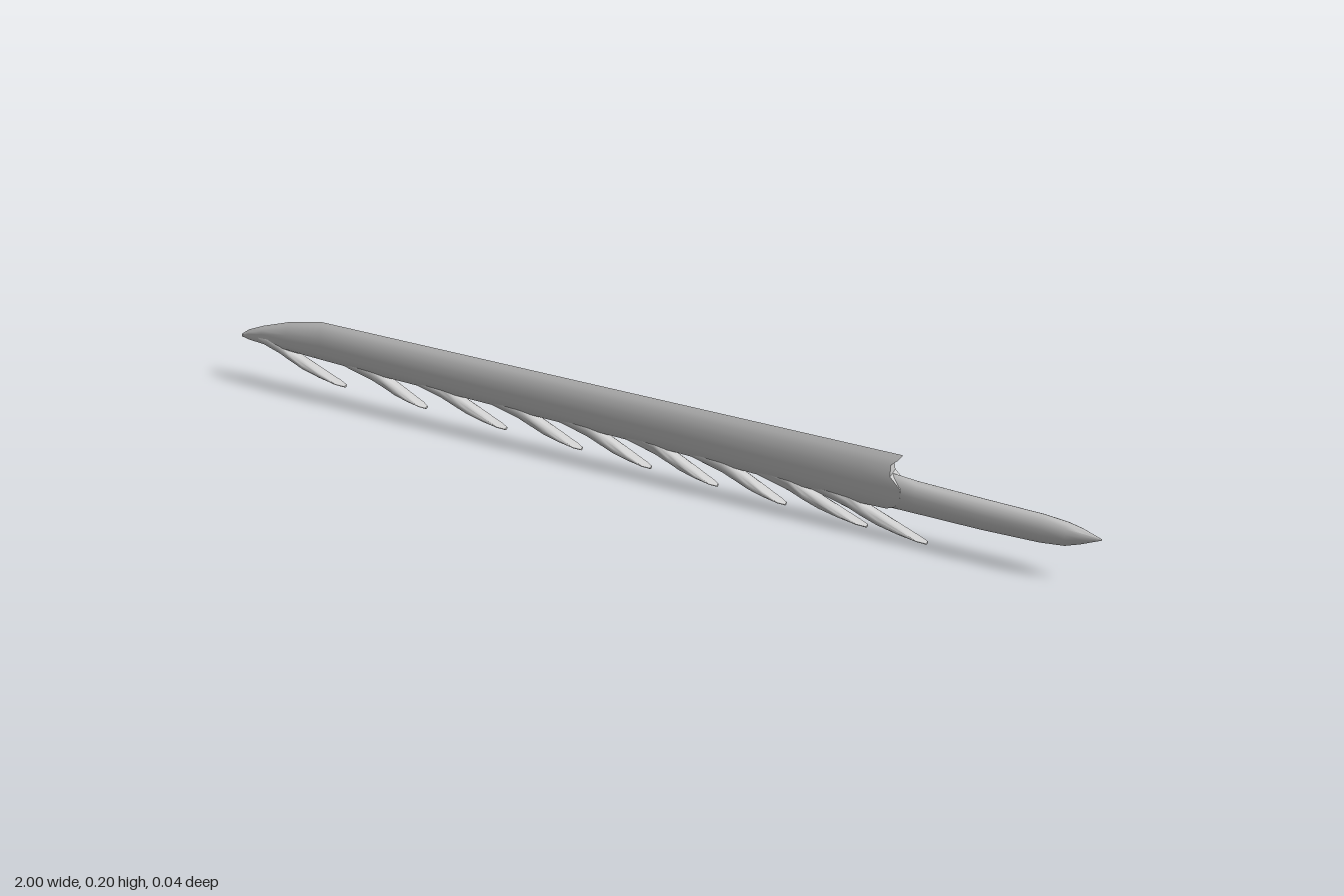
import * as THREE from 'three';
import { toCreasedNormals } from 'three/addons/utils/BufferGeometryUtils.js';

const material = new THREE.MeshStandardMaterial({ color: 0xcccccc });

// Half cross-sections from top to bottom: [height fraction, width fraction]
const BLADE = [[1, 0], [0.92, 0.35], [0.82, 0.64], [0.64, 0.94], [0.45, 1], [0.25, 1], [0.1, 0.85], [0, 0.4]];
const OVAL = [[1, 0], [0.94, 0.4], [0.8, 0.8], [0.6, 1], [0.4, 1], [0.2, 0.8], [0.06, 0.4], [0, 0]];

// Skins sections [x, top, bottom, halfWidth, xOffsets?] that run along +x
function loft(name, profile, sections, crease = 0.6) {
  const half = profile.map(([v, w], k) => [v, w, k]);
  const mirrored = half.filter(([, w]) => w > 0).reverse().map(([v, w, k]) => [v, -w, k]);
  const ring = [...half, ...mirrored];
  const n = ring.length;
  const positions = [];
  const index = [];
  for (const [x, top, bottom, width, offsets] of sections) {
    for (const [v, w, k] of ring) {
      positions.push(x + (offsets ? offsets[k] : 0), bottom + (top - bottom) * v, width * w);
    }
  }
  const last = sections.length - 1;
  for (let i = 0; i < last; i++) {
    for (let j = 0; j < n; j++) {
      const a = i * n + j;
      const b = i * n + (j + 1) % n;
      index.push(a, b, b + n, a, b + n, a + n);
    }
  }
  // End caps, bridged straight across from side to side
  const e = last * n;
  for (let j = 0; j < n / 2 - 1; j++) {
    const a = j, b = j + 1, c = n - 1 - j, d = (n - j) % n;
    index.push(a, c, b, a, d, c);
    index.push(e + a, e + b, e + c, e + a, e + c, e + d);
  }
  const geometry = new THREE.BufferGeometry();
  geometry.setAttribute('position', new THREE.Float32BufferAttribute(positions, 3));
  geometry.setIndex(index);
  const mesh = new THREE.Mesh(toCreasedNormals(geometry, crease), material);
  mesh.name = name;
  return mesh;
}

// Barb sweeping down and back from its notch root to its tip
function barb(name, [nx, ny, tx, ty], lead, drop) {
  const X = (t) => nx + (tx - nx) * t;
  const Y = (t) => ny + (ty - ny) * t;
  return loft(name, OVAL, [
    [nx - lead, ny + 0.03, ny + 0.006, 0.01],
    [nx - lead * 0.6, ny + 0.03, Y(drop * 0.22), 0.016],
    [nx - lead * 0.25, ny + 0.02, Y(drop * 0.6), 0.017],
    [nx, ny, Y(drop), 0.016],
    [X(0.25), Y(0.24), Y(drop + (1 - drop) * 0.45), 0.0155],
    [X(0.55), Y(0.55), Y(drop + (1 - drop) * 0.75), 0.0145],
    [X(0.85), Y(0.86), Y(0.98), 0.012],
    [tx, ty + 0.003, ty - 0.003, 0.005],
  ], 0.9);
}

export function createModel() {
  const model = new THREE.Group();
  model.name = 'barbedPoint';

  // Blade with a rounded nose and a hooked rear edge
  model.add(loft('blade', BLADE, [
    [-1, 0.122, 0.115, 0.003],
    [-0.98, 0.137, 0.112, 0.008],
    [-0.94, 0.155, 0.11, 0.013],
    [-0.87, 0.18, 0.109, 0.017],
    [-0.78, 0.2, 0.106, 0.019],
    [-0.62, 0.2, 0.1, 0.019],
    [-0.25, 0.2, 0.092, 0.019],
    [0.08, 0.2, 0.085, 0.019],
    [0.39, 0.2, 0.074, 0.019],
    [0.5, 0.2, 0.069, 0.019],
    [0.56, 0.2, 0.07, 0.018, [0.025, 0.018, 0.004, 0.006, 0.03, 0.03, 0.02, 0]],
  ]));

  // Tang with a pointed butt
  model.add(loft('tang', OVAL, [
    [0.48, 0.155, 0.072, 0.014],
    [0.58, 0.152, 0.07, 0.0175],
    [0.62, 0.148, 0.07, 0.018],
    [0.76, 0.143, 0.069, 0.018],
    [0.88, 0.14, 0.072, 0.017],
    [0.93, 0.135, 0.078, 0.0145],
    [0.96, 0.128, 0.09, 0.009],
    [1, 0.113, 0.11, 0.001],
  ]));

  // Barbs: notch root x, y and tip x, y
  const barbs = new THREE.Group();
  barbs.name = 'barbs';
  [
    [-0.87, 0.11, -0.73, 0.047],
    [-0.62, 0.1, -0.52, 0.042],
    [-0.44, 0.097, -0.32, 0.037],
    [-0.25, 0.092, -0.135, 0.032],
    [-0.085, 0.089, 0.03, 0.027],
    [0.075, 0.085, 0.185, 0.023],
    [0.23, 0.08, 0.34, 0.018],
    [0.38, 0.075, 0.52, 0.012],
    [0.51, 0.068, 0.65, 0.006],
  ].forEach((points, i) => {
    barbs.add(barb(`barb${i + 1}`, points, i ? 0.13 : 0.09, i ? 0.55 : 0.42));
  });
  model.add(barbs);
  return model;
}
